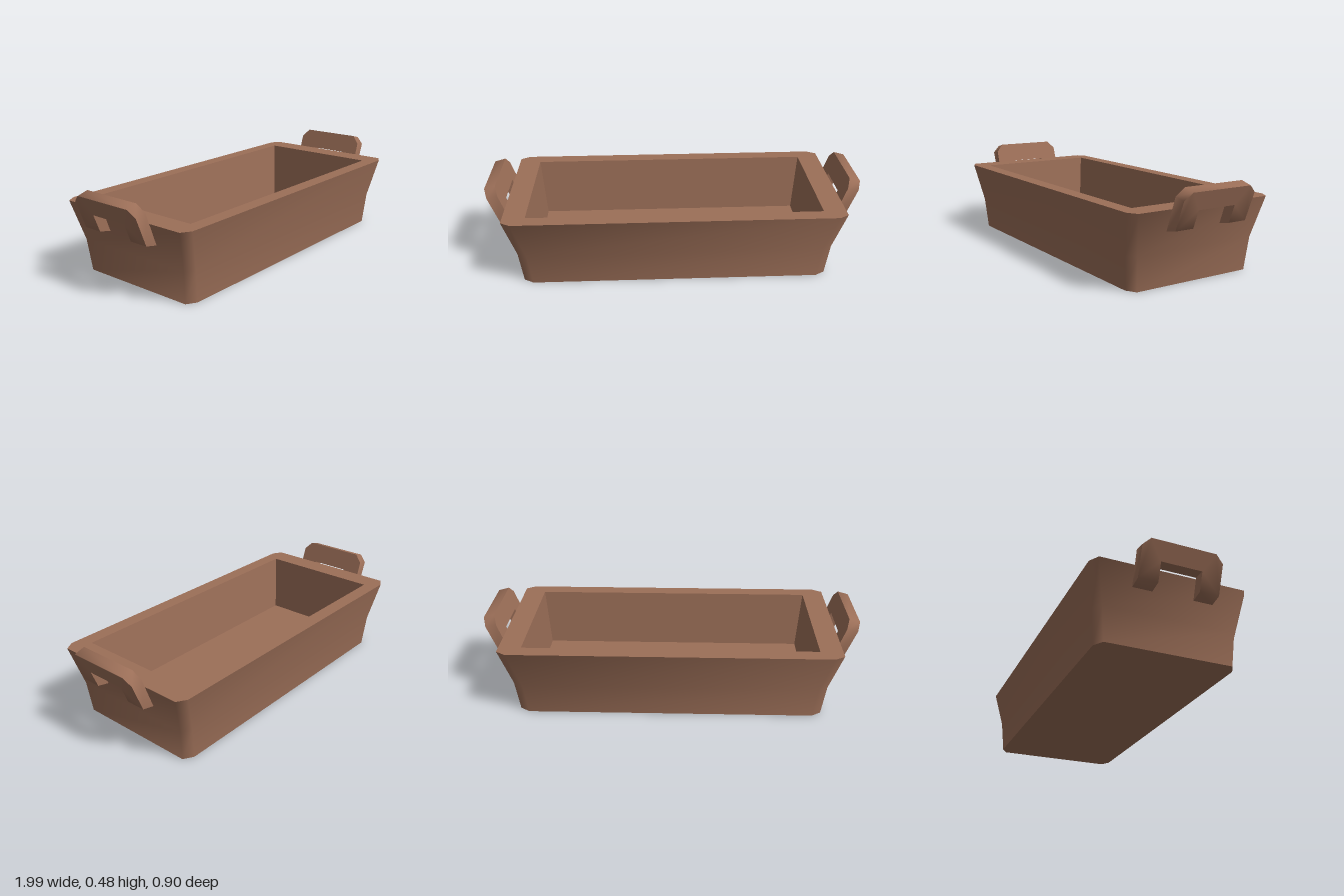
import * as THREE from 'three';
import { toCreasedNormals } from 'three/addons/utils/BufferGeometryUtils.js';

const CREASE = 1.1;
const lerp = THREE.MathUtils.lerp;

// Rectangle ring with cut corners, at height y
function ring(y, hx, hz, cx = 0, cz = 0) {
  const x = hx - cx, z = hz - cz;
  return [[hx, z], [hx, -z], [x, -hz], [-x, -hz], [-hx, -z], [-hx, z], [-x, hz], [x, hz]]
    .map(([px, pz]) => new THREE.Vector3(px, y, pz));
}

// Skin a stack of rings, leaving out collapsed triangles
function skin(rings) {
  const points = [];
  const tri = (a, b, c) => {
    if (a.equals(b) || b.equals(c) || c.equals(a)) return;
    points.push(a, b, c);
  };
  for (let r = 0; r < rings.length - 1; r++) {
    for (let i = 0; i < 8; i++) {
      const j = (i + 1) % 8;
      const a = rings[r][i], b = rings[r][j], c = rings[r + 1][j], d = rings[r + 1][i];
      tri(a, b, c);
      tri(a, c, d);
    }
  }
  return toCreasedNormals(new THREE.BufferGeometry().setFromPoints(points), CREASE);
}

// Arch-shaped grip: x is width, y runs 0..1 up the grip, depth 0..1 goes outward
function handleGeometry() {
  const w = 0.207, g = 0.106, c = 0.04;
  const shape = new THREE.Shape([
    [-w, 0], [-g, 0], [-g, 0.5], [g, 0.5], [g, 0], [w, 0],
    [w, 0.8], [w - c, 1], [-w + c, 1], [-w, 0.8],
  ].map(([x, y]) => new THREE.Vector2(x, y)));
  const geo = new THREE.ExtrudeGeometry(shape, { depth: 1, bevelEnabled: false });
  // Lean the grip outward and give its faces their slant
  const p = geo.attributes.position;
  for (let i = 0; i < p.count; i++) {
    const s = p.getX(i), v = p.getY(i), t = p.getZ(i);
    const x = lerp(lerp(0.857, 0.93, v), lerp(0.919, 0.987, v), t);
    const y = lerp(lerp(0.275, 0.483, v), lerp(0.288, 0.467, v), t);
    p.setXYZ(i, x, y, -s);
  }
  return toCreasedNormals(geo, CREASE);
}

export function createModel() {
  const model = new THREE.Group();
  model.name = 'servingTray';
  const clay = new THREE.MeshStandardMaterial({ color: 0x9c6f58 });

  // Tray: underside, flared outer wall, rim, inner wall and floor
  const tray = new THREE.Mesh(skin([
    ring(0, 0, 0),
    ring(0, 0.803, 0.355, 0.05, 0.03),
    ring(0.17, 0.822, 0.368, 0.05, 0.03),
    ring(0.38, 0.881, 0.407, 0.05, 0.03),
    ring(0.38, 0.764, 0.332),
    ring(0.06, 0.741, 0.308),
    ring(0.06, 0, 0),
  ]), clay);
  tray.name = 'tray';
  model.add(tray);

  // A handle at each end
  const grip = handleGeometry();
  [['leftHandle', 0], ['rightHandle', Math.PI]].forEach(([name, turn]) => {
    const handle = new THREE.Mesh(grip, clay);
    handle.name = name;
    handle.rotation.y = turn;
    model.add(handle);
  });

  // The whole piece sits slightly turned
  model.rotation.y = -0.054;
  return model;
}
